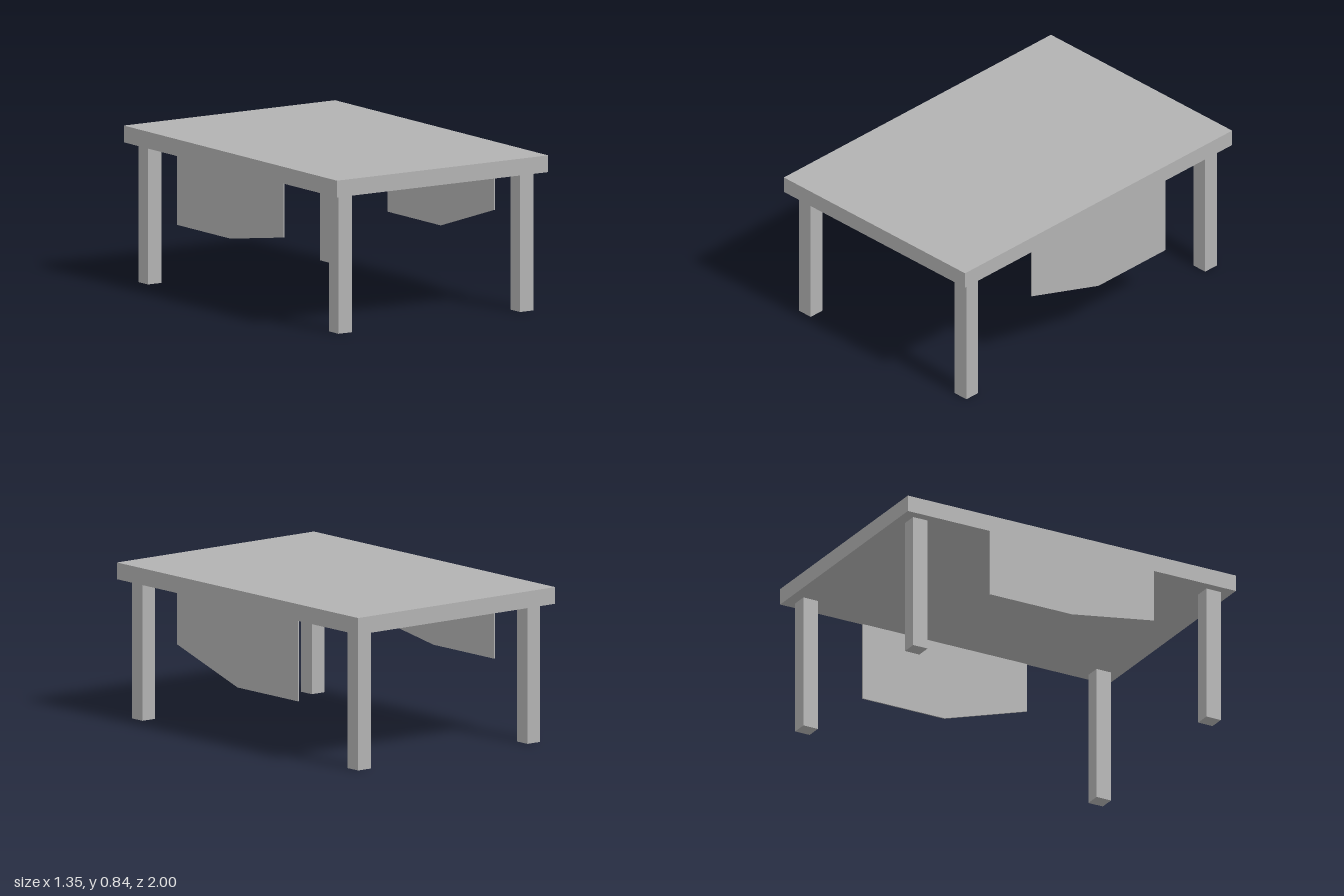
import * as THREE from 'three';

export function createModel() {
  const group = new THREE.Group();
  const grey = new THREE.MeshStandardMaterial({ color: 0xb2b2b2 });
  grey.name = 'plain grey';

  const HALF_WIDTH = 0.675, UNDERSIDE = 0.746, TOP = 0.836;

  function add(name, geometry, x, y, z) {
    const mesh = new THREE.Mesh(geometry, grey);
    mesh.name = name;
    mesh.position.set(x, y, z);
    group.add(mesh);
    return mesh;
  }

  // Table top
  add('tableTop', new THREE.BoxGeometry(2 * HALF_WIDTH, TOP - UNDERSIDE, 2),
    0, (TOP + UNDERSIDE) / 2, 0);

  // Four square legs, set in from the edges
  const legGeometry = new THREE.BoxGeometry(0.087, UNDERSIDE, 0.088);
  for (const [zName, sz] of [['front', 1], ['back', -1]]) {
    for (const [xName, sx] of [['Left', 1], ['Right', -1]]) {
      add(`${zName}${xName}Leg`, legGeometry, sx * 0.58, UNDERSIDE / 2, sz * 0.894);
    }
  }

  // Thin hanging side panels: level at the back half, sloping up to the front
  const THICKNESS = 0.007;
  function sidePanel(name, x, frontY, lowY) {
    const shape = new THREE.Shape([
      [-0.5, UNDERSIDE], [-0.5, frontY], [0, lowY], [0.5, lowY], [0.5, UNDERSIDE],
    ].map(([u, v]) => new THREE.Vector2(u, v)));
    const geometry = new THREE.ExtrudeGeometry(shape, { depth: THICKNESS, bevelEnabled: false });
    geometry.rotateY(Math.PI / 2); // shape's u becomes -z, depth becomes +x
    add(name, geometry, x, 0, 0);
  }
  sidePanel('leftSidePanel', HALF_WIDTH - THICKNESS, 0.47, 0.313);
  sidePanel('rightSidePanel', -HALF_WIDTH, 0.457, 0.377);

  return group;
}
